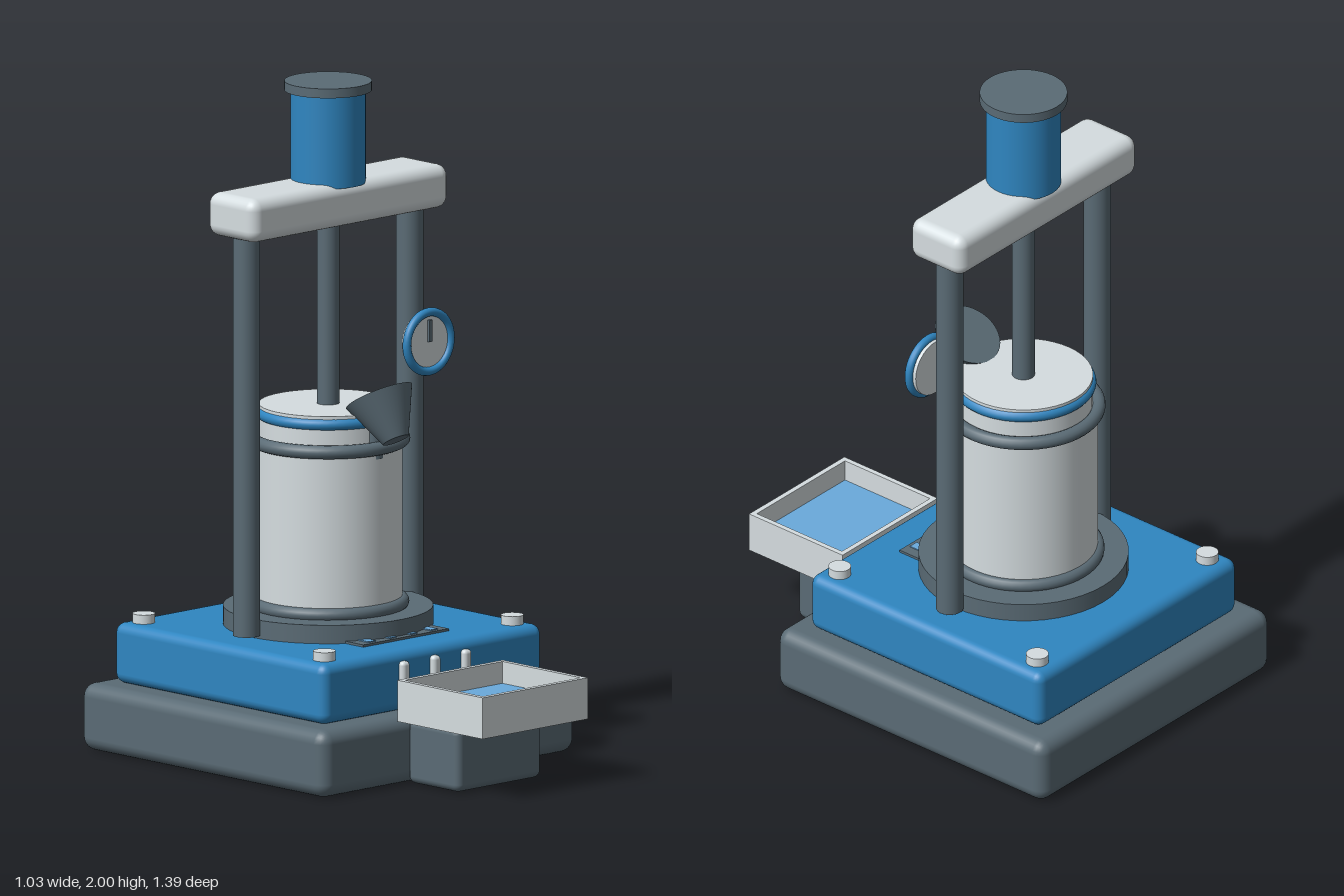
import * as THREE from 'three';
import { RoundedBoxGeometry } from 'three/addons/geometries/RoundedBoxGeometry.js';

const paint = (color) => new THREE.MeshStandardMaterial({ color });
const dark = paint(0x5a6b75);
const blue = paint(0x2f86c1);
const light = paint(0xd5dde0);
const water = paint(0x6aaadc);
const CZ = -0.18; // z of the machine's main axis

export function createModel() {
  const model = new THREE.Group();
  model.name = 'press';

  const add = (name, geometry, material, x, y, z) => {
    const mesh = new THREE.Mesh(geometry, material);
    mesh.name = name;
    mesh.position.set(x, y, z);
    model.add(mesh);
    return mesh;
  };
  // Upright cylinder between two heights
  const post = (name, r, y0, y1, material, x = 0, z = CZ) =>
    add(name, new THREE.CylinderGeometry(r, r, y1 - y0, 48), material, x, (y0 + y1) / 2, z);
  // Box from its min and max corners, rounded if a radius is given
  const box = (name, [x0, y0, z0], [x1, y1, z1], material, radius = 0) => {
    const size = [x1 - x0, y1 - y0, z1 - z0];
    const geometry = radius
      ? new RoundedBoxGeometry(...size, 3, radius)
      : new THREE.BoxGeometry(...size);
    return add(name, geometry, material, (x0 + x1) / 2, (y0 + y1) / 2, (z0 + z1) / 2);
  };
  // Horizontal ring around the main axis
  const ring = (name, outer, tube, y, material) => {
    const mesh = add(name, new THREE.TorusGeometry(outer - tube, tube, 14, 56), material, 0, y, CZ);
    mesh.rotation.x = Math.PI / 2;
  };

  // Base and deck
  box('base', [-0.515, 0.005, -0.695], [0.515, 0.205, 0.335], dark, 0.04);
  box('deck', [-0.445, 0.205, -0.625], [0.445, 0.385, 0.265], blue, 0.03);
  for (const x of [-0.38, 0.38]) {
    for (const z of [-0.56, 0.2]) post('deckBolt', 0.033, 0.38, 0.412, light, x, z);
  }

  // Pressing chamber
  post('chamberPlate', 0.307, 0.38, 0.44, dark);
  post('chamber', 0.217, 0.44, 0.94, light);
  ring('lowerChamberRing', 0.237, 0.02, 0.452, dark);
  ring('upperChamberRing', 0.24, 0.02, 0.937, dark);

  // Piston, seal and rod
  post('piston', 0.203, 0.9, 1.04, light);
  ring('pistonSeal', 0.213, 0.018, 1.015, blue);
  post('pistonRod', 0.033, 1.03, 1.6, dark);

  // Frame and drive
  for (const x of [-0.33, 0.33]) post('column', 0.04, 0.395, 1.6, dark, x);
  box('crossbar', [-0.4, 1.58, CZ - 0.102], [0.4, 1.71, CZ + 0.102], light, 0.035);
  post('driveHousing', 0.11, 1.698, 1.975, blue);
  post('driveCap', 0.128, 1.972, 2.0, dark);

  // Tilted feed funnel with a short spout
  const funnel = add('feedFunnel', new THREE.CylinderGeometry(0.103, 0.04, 0.14, 40), dark, 0, 1.031, 0.07);
  funnel.rotation.x = -0.53;
  post('funnelSpout', 0.027, 0.905, 1.0, dark, 0, 0.013);

  // Pressure gauge
  const gauge = new THREE.Group();
  gauge.name = 'gauge';
  gauge.position.set(0.327, 1.188, -0.1);
  const face = new THREE.Mesh(new THREE.CylinderGeometry(0.086, 0.086, 0.025, 40), light);
  face.name = 'gaugeFace';
  face.rotation.x = Math.PI / 2;
  face.position.z = -0.008;
  const rim = new THREE.Mesh(new THREE.TorusGeometry(0.088, 0.013, 12, 48), blue);
  rim.name = 'gaugeRim';
  rim.position.z = 0.003;
  const needle = new THREE.Mesh(new THREE.BoxGeometry(0.012, 0.065, 0.008), dark);
  needle.name = 'gaugeNeedle';
  needle.position.set(0, 0.033, 0.008);
  gauge.add(face, rim, needle);
  model.add(gauge);

  // Drain grate in front of the chamber
  box('drainGrate', [-0.173, 0.38, 0.0], [0.173, 0.392, 0.148], dark);
  for (const x of [-0.125, -0.042, 0.042, 0.125]) {
    box('drainSlot', [x - 0.015, 0.385, 0.02], [x + 0.015, 0.395, 0.136], water);
  }

  // Control levers on the deck front
  for (const x of [-0.125, 0, 0.125]) {
    box('controlLever', [x - 0.016, 0.25, 0.252], [x + 0.016, 0.355, 0.283], light, 0.012);
  }

  // Collecting tray on its bracket
  box('trayBracket', [-0.172, 0.008, 0.33], [0.172, 0.198, 0.545], dark, 0.022);
  box('trayFloor', [-0.213, 0.197, 0.333], [0.213, 0.213, 0.692], light);
  for (const s of [-1, 1]) {
    box('traySide', [s * 0.205 - 0.008, 0.2, 0.333], [s * 0.205 + 0.008, 0.32, 0.692], light);
  }
  for (const z of [0.333, 0.676]) box('trayEnd', [-0.2, 0.2, z], [0.2, 0.32, z + 0.016], light);
  box('trayLiquid', [-0.198, 0.21, 0.348], [0.198, 0.255, 0.677], water);

  return model;
}
